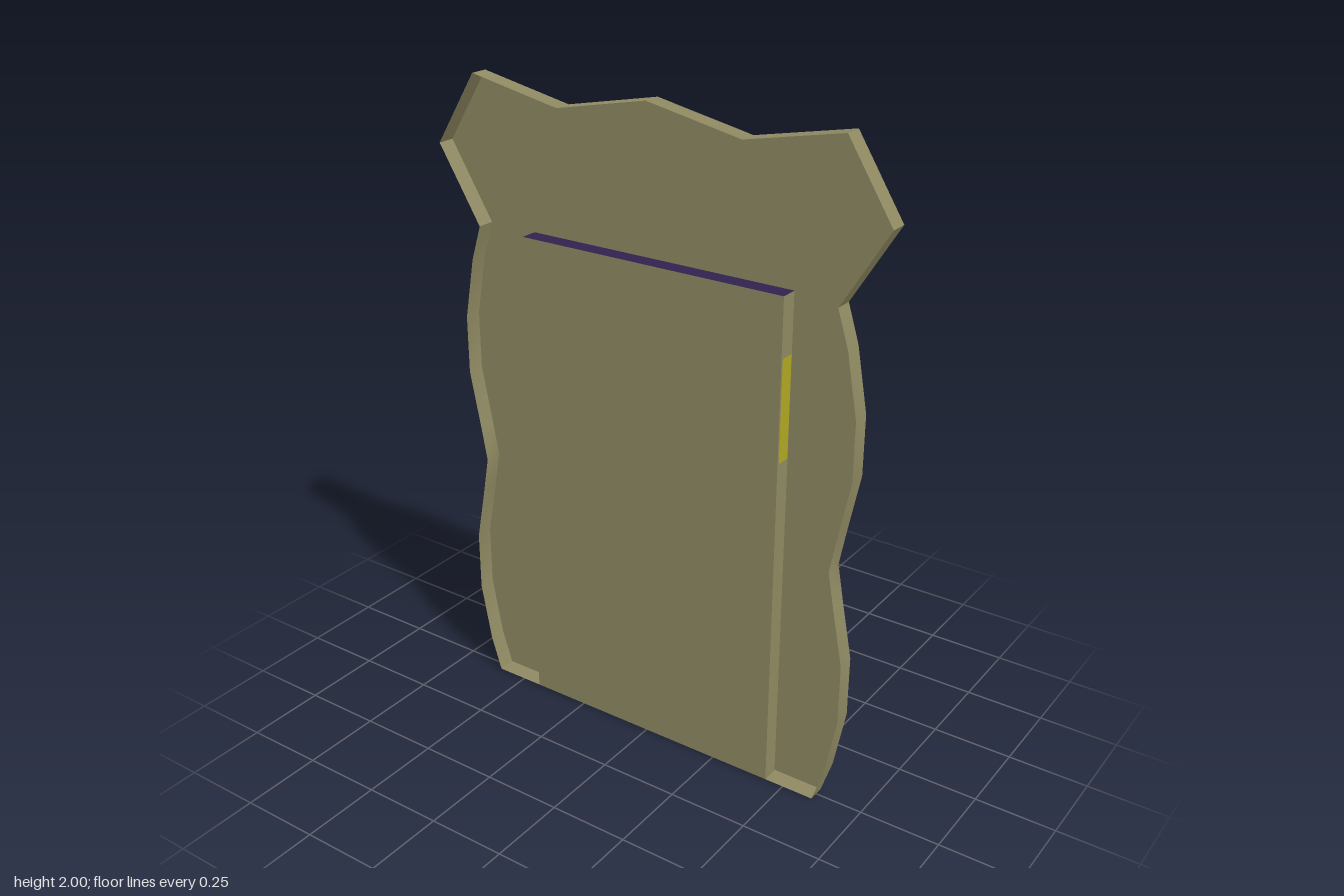
import * as THREE from 'three';
import { toCreasedNormals } from 'three/addons/utils/BufferGeometryUtils.js';

const T = 0.028; // half thickness

const paint = (color) => new THREE.MeshStandardMaterial({ color, side: THREE.DoubleSide });

export function createModel() {
  const group = new THREE.Group();
  const olive = paint(0x8f8a62);
  const purple = paint(0x30224f);
  const yellow = paint(0xb0a820);

  const add = (name, geometry, material, x = 0, y = 0, z = 0) => {
    const mesh = new THREE.Mesh(geometry, material);
    mesh.name = name;
    mesh.position.set(x, y, z);
    group.add(mesh);
    return mesh;
  };

  // Wavy outline: one half from the base to the crown, then mirrored
  const half = [
    [0.6, 0], [0.635, 0.11], [0.67, 0.3], [0.67, 0.49], [0.635, 0.67], [0.615, 0.78],
    [0.635, 0.89], [0.67, 1.07], [0.67, 1.25], [0.635, 1.44], [0.6, 1.55],
    [0.74, 1.78], [0.6, 2], [0.3, 1.94],
  ];
  const outline = [...half, [0, 2], ...half.map(([x, y]) => [-x, y]).reverse()];

  // Flat back sheet
  const shape = new THREE.Shape(outline.map(([x, y]) => new THREE.Vector2(x, y)));
  add('backSheet', new THREE.ShapeGeometry(shape), olive, 0, 0, -T);

  // Thin rim standing forward from the sheet, open at the front
  const verts = [];
  outline.forEach(([px, py], i) => {
    const [qx, qy] = outline[(i + 1) % outline.length];
    verts.push(px, py, -T, qx, qy, -T, qx, qy, T);
    verts.push(px, py, -T, qx, qy, T, px, py, T);
  });
  const rim = new THREE.BufferGeometry();
  rim.setAttribute('position', new THREE.Float32BufferAttribute(verts, 3));
  add('rim', toCreasedNormals(rim, 0.5), olive);

  // Raised door block with a dark top
  const doorW = 0.876, doorH = 1.548;
  add('door', new THREE.BoxGeometry(doorW, doorH, 2 * T - 0.002),
    [olive, olive, purple, olive, olive, olive], 0.002, doorH / 2, 0.001);

  // Latch plate on the door's side
  const latch = add('latch', new THREE.PlaneGeometry(0.046, 0.31), yellow, 0.002 + doorW / 2 + 0.001, 1.215, 0);
  latch.rotation.y = Math.PI / 2;

  // Dark panel and small square patches on the back
  const backPatch = (name, w, h, x, y) => {
    add(name, new THREE.PlaneGeometry(w, h), purple, x, y, -T - 0.001).rotation.y = Math.PI;
  };
  backPatch('backPanel', 0.88, 1.39, 0.002, 0.853);
  const rows = [1.35, 1.085, 0.826, 0.55, 0.292];
  const leftX = [0.515, 0.593, 0.508, 0.58, 0.55];
  const rightX = [-0.5, -0.6, -0.529, -0.494, -0.579];
  rows.forEach((y, i) => {
    backPatch('leftPatch', 0.075, 0.075, leftX[i], y);
    backPatch('rightPatch', 0.075, 0.075, rightX[i], y);
  });

  return group;
}
